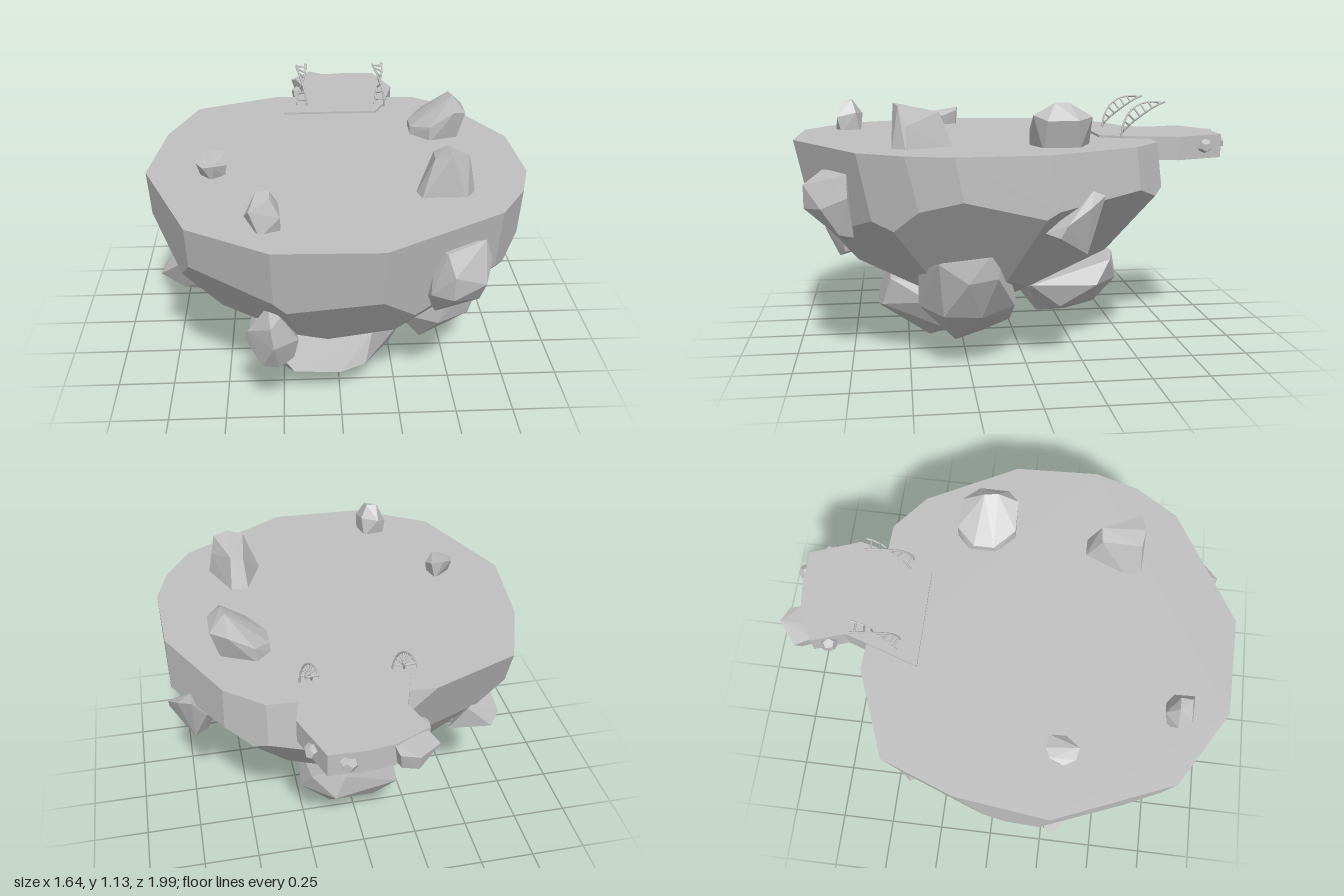
import * as THREE from 'three';
import { ConvexGeometry } from 'three/addons/geometries/ConvexGeometry.js';

const V = (x, y, z) => new THREE.Vector3(x, y, z);
const TOP = 0.957;

// Faceted solid bounded by planes n.(p - o) = 1, built through its dual hull
function solidFromPlanes(duals, o) {
  const pos = new ConvexGeometry(duals).attributes.position;
  const seen = new Map();
  for (let i = 0; i < pos.count; i += 3) {
    const [a, b, c] = [0, 1, 2].map(k => new THREE.Vector3().fromBufferAttribute(pos, i + k));
    const n = b.clone().sub(a).cross(c.clone().sub(a));
    const d = n.dot(a);
    if (n.length() < 1e-7 || d < 1e-9) continue;
    const p = n.divideScalar(d).add(o);
    seen.set(p.toArray().map(v => v.toFixed(3)).join(), p);
  }
  return new ConvexGeometry([...seen.values()]);
}

// Bowl shaped island: one facet under each top edge, then staggered lower rings
function islandGeometry() {
  const o = V(0, 0.6, 0.18), c = V(0, 0.95, 0.18), r = V(0.82, 0.73, 0.8);
  // Top edge corners x, z and the inward lean of the facet below the edge that starts there
  const rim = [[-0.65, -0.46, 0.35], [-0.27, -0.61, -0.12], [0.43, -0.58, -0.1], [0.59, -0.45, -0.08], [0.80, -0.05, 0],
    [0.815, 0.32, 0.06], [0.76, 0.51, 0.12], [0.64, 0.70, 0.18], [0.15, 0.99, 0.21], [-0.28, 0.98, 0.19],
    [-0.61, 0.78, 0.09], [-0.82, 0.27, 0], [-0.77, -0.14, 0.12]];
  const planes = [V(0, 1 / (TOP - o.y), 0)];
  rim.forEach(([x, z, lean], i) => {
    const [x2, z2] = rim[(i + 1) % rim.length];
    const n = V(z2 - z, 0, x - x2).normalize();
    n.y = -lean;
    const d = n.dot(V(x, TOP, z).sub(o));
    planes.push(n.divideScalar(d));
  });
  // Each reach scales how far that facet stands from the middle
  const addRing = (reaches, lat, phase) => reaches.forEach((reach, i) => {
    const a = phase + i / reaches.length * Math.PI * 2;
    const l = lat + 0.07 * Math.sin(i * 2.3);
    const n = V(Math.sin(a) * Math.cos(l), -Math.sin(l), Math.cos(a) * Math.cos(l)).divide(r);
    const d = reach + n.dot(c.clone().sub(o));
    planes.push(n.divideScalar(d));
  });
  addRing([.975, .975, .975, .975, 1.03, .985, .95, .975, .975], 0.62, 0.05);
  addRing([.975, .975, .99, .975, .975, .975], 1.08, 0.4);
  addRing([.975], Math.PI / 2, 0);
  return solidFromPlanes(planes, o);
}

// Corner points of every loose stone, as x, y, z triples
const STONES = {
  topRockFront: [.31,.94,.5, .33,.94,.56, .52,.94,.56, .56,.94,.5, .47,.94,.3, .39,.94,.3, .38,1.12,.54, .45,1.14,.55,
    .52,1.13,.53, .4,1.08,.37, .46,1.1,.36, .54,1.05,.5],
  topRockBack: [.36,.95,-.22, .36,.95,-.1, .44,.94,-.02, .42,.94,-.28, .57,.94,-.06, .57,.94,-.21, .36,.99,-.2, .36,.99,-.11,
    .44,1.02,-.02, .43,1.02,-.28, .55,1.09,-.02, .54,1.08,-.27, .55,1.14,-.11, .54,1.14,-.17, .61,1.07,-.07, .61,1.07,-.2],
  topPebbleLeft: [-.58,.94,.29, -.5,.94,.23, -.48,.94,.3, -.53,.94,.34, -.6,1.01,.3, -.58,1.03,.24, -.54,1.04,.22, -.48,1.03,.23,
    -.47,1,.3, -.52,1.02,.36, -.57,1.01,.35],
  topPebbleFront: [-.36,.94,.72, -.26,.94,.71, -.24,.94,.8, -.32,.94,.83, -.38,1,.76, -.36,1.04,.81, -.33,1.1,.75, -.28,1.1,.75,
    -.28,1.09,.8, -.25,1.04,.73, -.24,1.02,.82, -.33,1.03,.7],
  sideRockFrontRight: [.36,.85,.76, .4,.86,.85, .57,.86,.74, .6,.77,.74, .56,.6,.72, .4,.55,.76, .33,.62,.76, .34,.69,.87,
    .42,.7,.93, .42,.8,.93, .56,.72,.85, .55,.61,.78, .37,.57,.8],
  sideRockFrontLeft: [-.3,.6,.78, -.25,.59,.85, -.29,.56,.89, -.18,.46,.82, -.2,.36,.8, -.26,.33,.83, -.33,.34,.83, -.4,.43,.76,
    -.39,.48,.78, -.28,.47,.9, -.3,.37,.65, -.2,.4,.65],
  bottomRockFront: [-.4,.28,.5, -.38,.33,.35, -.36,.33,.58, .14,.31,.58, .28,.23,.4, .27,.26,.28, .24,.1,.35, .05,.005,.4, -.21,.015,.4,
    -.31,.07,.42, -.2,.16,.64, 0,.15,.64, .11,.18,.62, -.05,.02,.24, -.2,.08,.13, .05,.08,.13, .2,.3,.15, -.3,.3,.15],
  bottomRockRight: [.28,.22,.3, .39,.09,.3, .37,.12,.18, .6,.25,.2, .6,.26,.36, .69,.42,.26, .69,.44,.14, .7,.53,.18, .66,.5,.38,
    .5,.44,.46, .45,.27,.46, .5,.27,.05, .45,.3,.04, .5,.5,.1, .4,.18,.06, .3,.45,.25],
  bottomRockBack: [-.15,.4,-.4, .23,.39,-.43, .08,.4,-.47, -.17,.28,-.42, .13,.28,-.48, .27,.28,-.36, -.07,.17,-.37, .14,.17,-.37,
    -.1,.13,-.22, .09,.12,-.24, .22,.17,-.2, .13,.13,-.1, -.07,.16,-.06, .24,.28,-.06, -.17,.26,-.1, .08,.22,-.03],
  sideRockLeft: [-.79,.47,.3, -.78,.49,.26, -.7,.6,.24, -.68,.58,.4, -.56,.5,.42, -.58,.42,.36, -.69,.41,.32, -.62,.42,.2, -.55,.55,.2],
  sideRockBackLeft: [-.65,.58,-.37, -.6,.55,-.43, -.62,.67,-.29, -.48,.67,-.43, -.4,.55,-.41, -.53,.5,-.21, -.43,.5,-.34],
  sideRockBackRight: [.72,.8,-.24, .72,.78,-.29, .78,.74,-.22, .82,.68,-.12, .82,.63,-.09, .76,.64,-.04, .72,.54,-.22,
    .66,.7,-.28, .6,.6,-.1, .66,.56,-.2],
  platformBoulder: [-.19,.94,-.92, -.17,.88,-.9, -.09,.955,-1, -.09,.89,-.99, -.02,.95,-.97, -.03,.88,-.96, -.01,.96,-.91,
    -.1,.965,-.85, -.15,.96,-.83, -.12,.87,-.8, -.02,.87,-.9],
};

// Pebbles stuck to the platform edge: x, y, z, radius
const PEBBLES = [[.295, .92, -.84, .036], [.17, .92, -.94, .038], [-.15, .91, -.78, .045]];

// Twisted ladder with two rails and rungs along a leaning curve
function twistedLadder(x, material) {
  const ladder = new THREE.Group();
  const path = new THREE.QuadraticBezierCurve3(V(x, .955, -.46), V(x, 1.1, -.5), V(x, 1.115, -.655));
  const railPoint = (t, side) => {
    const tan = path.getTangent(t);
    const a = Math.PI * 1.05 * t;
    const up = V(0, -tan.z, tan.y);
    return path.getPoint(t).addScaledVector(V(1, 0, 0), side * .024 * Math.cos(a)).addScaledVector(up, side * .024 * Math.sin(a));
  };
  const tube = (points, name, segments) => {
    const m = new THREE.Mesh(new THREE.TubeGeometry(new THREE.CatmullRomCurve3(points), segments, .0045, 6), material);
    m.name = name;
    ladder.add(m);
  };
  for (const side of [-1, 1]) {
    tube(Array.from({ length: 13 }, (_, i) => railPoint(i / 12, side)), 'ladderRail', 24);
  }
  for (let i = 1; i <= 7; i++) tube([railPoint(i / 7.6, -1), railPoint(i / 7.6, 1)], 'ladderRung', 1);
  ladder.name = 'twistedLadder';
  return ladder;
}

export function createModel() {
  const model = new THREE.Group();
  model.name = 'floatingIsland';
  const stone = new THREE.MeshStandardMaterial({ color: 0xc0c0c0 });
  stone.name = 'greyStone';
  const add = (geometry, name) => {
    const m = new THREE.Mesh(geometry, stone);
    m.name = name;
    model.add(m);
    return m;
  };

  add(islandGeometry(), 'islandBody');

  // Loose stones
  for (const [name, p] of Object.entries(STONES)) {
    const points = [];
    for (let i = 0; i < p.length; i += 3) points.push(V(p[i], p[i + 1], p[i + 2]));
    add(new ConvexGeometry(points), name);
  }

  // Landing platform, with its shape drawn as x and -z
  const outline = [[-.23, .37], [.22, .37], [.27, .47], [.33, .71], [.25, .93], [.1, .935], [-.02, .92], [-.17, .85], [-.12, .7]];
  const shape = new THREE.Shape(outline.map(([x, z]) => new THREE.Vector2(x, z)));
  const slab = new THREE.ExtrudeGeometry(shape, { depth: .105, bevelEnabled: false });
  slab.rotateX(-Math.PI / 2).translate(0, .862, 0);
  add(slab, 'platform');

  PEBBLES.forEach(([x, y, z, s], i) => {
    const m = add(new THREE.DodecahedronGeometry(s), 'platformPebble');
    m.position.set(x, y, z);
    m.rotation.set(i, i * 2, .4);
    m.scale.set(.8, .9, 1);
  });

  for (const x of [-.14, .25]) model.add(twistedLadder(x, stone));
  return model;
}
